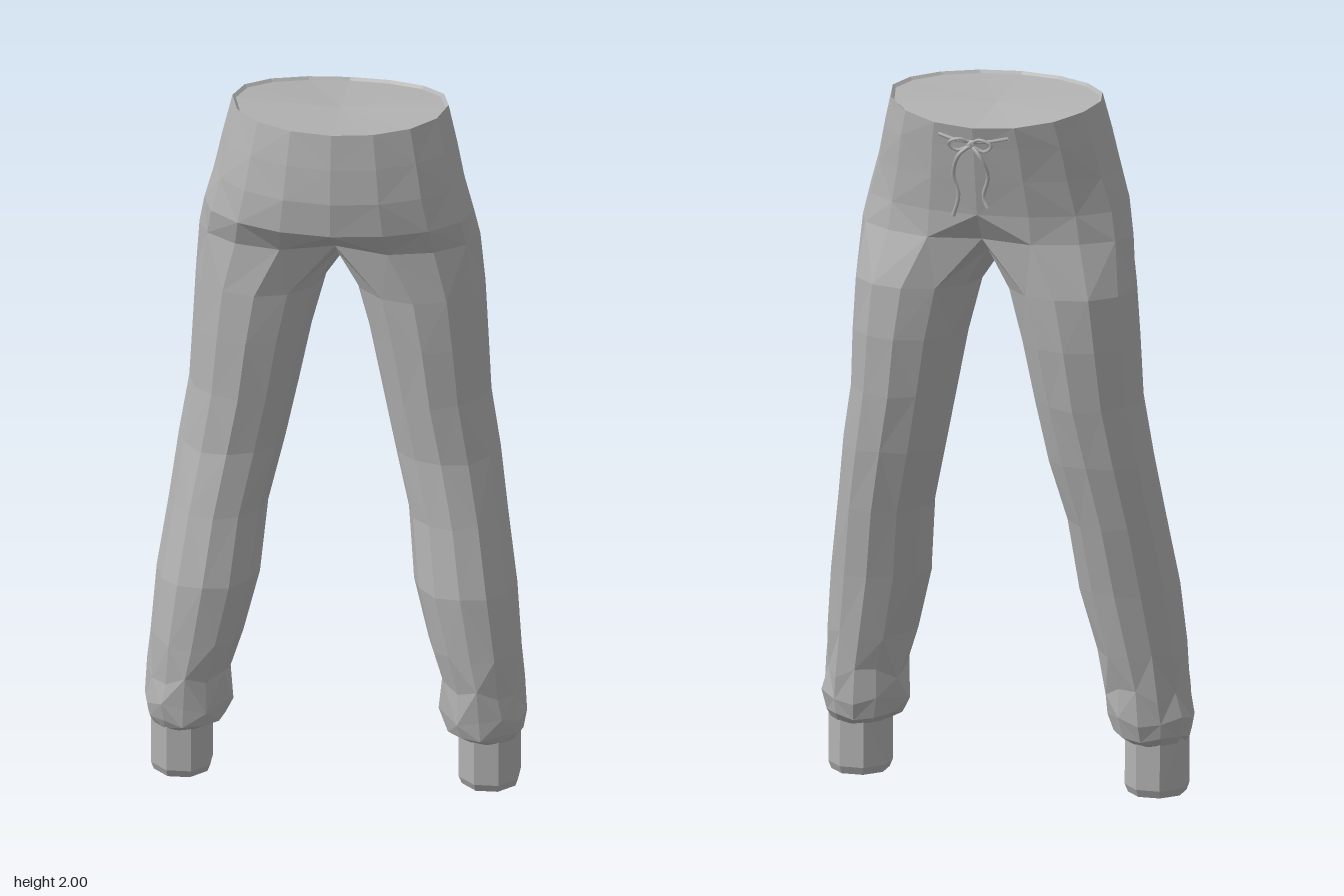
import * as THREE from 'three';

const V = (x, y, z) => new THREE.Vector3(x, y, z);
const cloth = new THREE.MeshStandardMaterial({ color: 0xb2b2b2, side: THREE.DoubleSide });
cloth.name = 'greyCloth';

// Skin over closed rings (top to bottom); optional fan caps. Faceted normals.
function loft(name, rings, { top, bottom, flip } = {}) {
  const pos = [];
  const tri = (a, b, c) => (flip ? [a, c, b] : [a, b, c]).forEach(p => pos.push(p.x, p.y, p.z));
  const n = rings[0].length;
  const last = rings[rings.length - 1];
  for (let i = 0; i < n; i++) {
    const j = (i + 1) % n;
    for (let r = 0; r < rings.length - 1; r++) {
      const a = rings[r], b = rings[r + 1];
      if ((i + r) % 2) {
        tri(a[i], b[i], b[j]);
        tri(a[i], b[j], a[j]);
      } else {
        tri(a[i], b[i], a[j]);
        tri(a[j], b[i], b[j]);
      }
    }
    if (top) tri(top, rings[0][i], rings[0][j]);
    if (bottom) tri(bottom, last[j], last[i]);
  }
  const geo = new THREE.BufferGeometry();
  geo.setAttribute('position', new THREE.Float32BufferAttribute(pos, 3));
  geo.computeVertexNormals();
  const mesh = new THREE.Mesh(geo, cloth);
  mesh.name = name;
  return mesh;
}

// Ring running front -> +x -> back; "first" is the index offset that points to +x
function ring(n, first, y, xIn, xOut, zBack, zFront, fold = 0) {
  const cx = (xIn + xOut) / 2, cz = (zBack + zFront) / 2;
  return Array.from({ length: n }, (_, k) => {
    const a = (k - first) * Math.PI * 2 / n;
    const w = 1 + fold * Math.sin(k * 2.4 + y * 37);
    return V(cx + (xOut - cx) * Math.cos(a) * w, y + fold * 0.4 * Math.sin(k * 1.9 + y * 20),
      cz - (zFront - cz) * Math.sin(a) * w);
  });
}

export function createModel() {
  const model = new THREE.Group();
  model.name = 'joggingTrousers';

  // Hips: y, half width, back z, front z
  const hipRings = [
    [2.0, 0.3, -0.235, 0.24],
    [1.9, 0.325, -0.222, 0.255],
    [1.8, 0.347, -0.205, 0.265],
    [1.7, 0.375, -0.187, 0.258],
    [1.62, 0.39, -0.182, 0.215],
  ].map(([y, w, zb, zf]) => ring(16, 4, y, -w, w, zb, zf));
  // Waist slopes down towards the drawstring side
  hipRings[0].forEach(p => { p.y -= 0.04 * Math.max(0, -p.z / 0.235) ** 1.5; });
  // Lower edge is drawn in at the middle
  const hem = hipRings[4];
  hem[0].z = 0.14;
  hem[8].z = -0.14;
  hem[1].z = hem[15].z = 0.185;
  model.add(loft('hips', hipRings));

  // Cap closing the waist, set slightly inside the rim
  const rim = hipRings[0];
  const inner = rim.map(p => V(p.x * 0.97, p.y - 0.008, p.z * 0.97));
  model.add(loft('waistOpening', [inner, rim].reverse()));
  model.add(loft('waistCap', [inner, inner], { top: V(0, 1.975, 0) }));

  // Legs: y, inner x, outer x, back z, front z, fold depth
  const legTable = [
    [1.47, 0.04, 0.402, -0.182, 0.178, 0],
    [1.32, 0.08, 0.41, -0.178, 0.177, 0],
    [1.15, 0.115, 0.418, -0.16, 0.172, 0.01],
    [0.98, 0.15, 0.445, -0.135, 0.172, 0.01],
    [0.8, 0.195, 0.47, -0.1, 0.2, 0.01],
    [0.6, 0.215, 0.5, -0.06, 0.24, 0.01],
    [0.42, 0.26, 0.515, -0.03, 0.247, 0.02],
    [0.31, 0.29, 0.52, -0.015, 0.243, 0.05],
    [0.23, 0.288, 0.533, -0.012, 0.243, 0.03],
    [0.18, 0.305, 0.522, 0.0, 0.235, 0.02],
    [0.155, 0.345, 0.508, 0.03, 0.21, 0],
  ];
  const crotch = [V(0, 1.575, -0.08), V(0, 1.53, 0), V(0, 1.575, 0.08)];
  for (const s of [1, -1]) {
    const side = s > 0 ? 'left' : 'right';
    const mirror = rings => rings.map(r => r.map(p => V(p.x * s, p.y, p.z)));
    const flip = s < 0;

    const legRings = [
      [...hem.slice(0, 9), ...crotch],
      ...legTable.map(row => ring(12, 4, ...row)),
    ];
    model.add(loft(side + 'Leg', mirror(legRings), { flip }));

    // Ankle cuff with closed bottom
    const cuffRings = [
      ring(8, 2.5, 0.18, 0.338, 0.516, 0.025, 0.213),
      ring(8, 2.5, 0.03, 0.338, 0.516, 0.022, 0.213),
      ring(8, 2.5, 0.008, 0.347, 0.508, 0.032, 0.203),
    ];
    model.add(loft(side + 'Cuff', mirror(cuffRings), { flip, bottom: V(0.427 * s, 0, 0.118) }));
  }

  // Drawstring: waist cord, bow loops and hanging ends
  const cord = (name, pts, r = 0.005) => {
    const path = new THREE.CatmullRomCurve3(pts.map(p => V(...p)));
    const mesh = new THREE.Mesh(new THREE.TubeGeometry(path, 14, r, 5), cloth);
    mesh.name = name;
    model.add(mesh);
  };
  cord('waistCord', [[-0.1, 1.935, -0.222], [-0.04, 1.925, -0.238], [0.04, 1.925, -0.238], [0.1, 1.935, -0.222]]);
  for (const s of [1, -1]) {
    cord('bowLoop', [[0, 1.92, -0.245], [0.03 * s, 1.935, -0.258], [0.062 * s, 1.92, -0.256],
      [0.04 * s, 1.9, -0.25], [0, 1.915, -0.248]]);
    cord('cordEnd', [[0, 1.915, -0.246], [0.03 * s, 1.89, -0.262], [0.05 * s, 1.83, -0.25],
      [0.036 * s, 1.77, -0.246], [0.05 * s, s > 0 ? 1.71 : 1.74, -0.25]], 0.006);
  }
  const knot = new THREE.Mesh(new THREE.IcosahedronGeometry(0.013, 0), cloth);
  knot.name = 'knot';
  knot.position.set(0, 1.917, -0.247);
  model.add(knot);

  return model;
}
